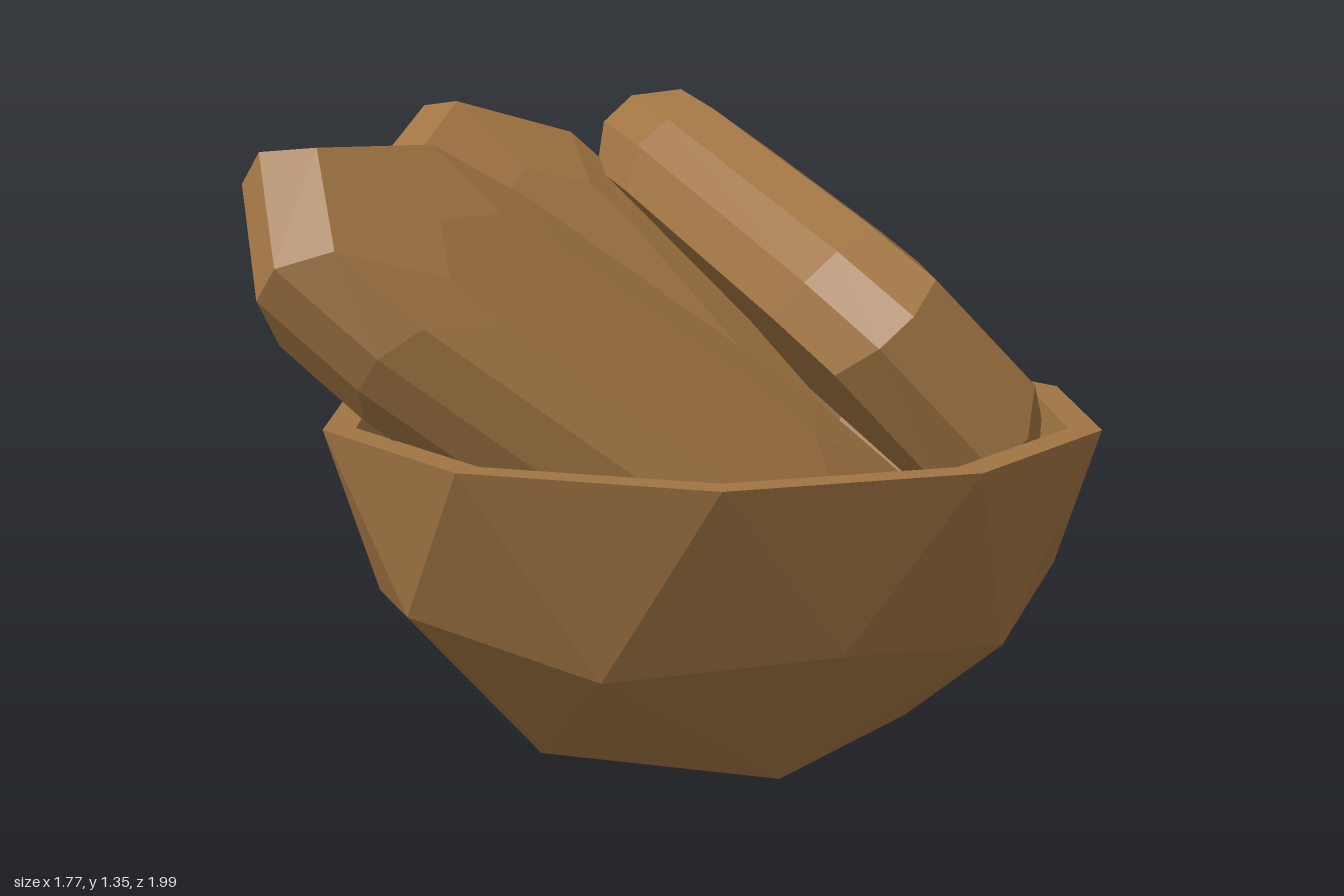
import * as THREE from 'three';

const brown = new THREE.MeshStandardMaterial({ color: 0xa07442 });
brown.name = 'warm brown';

// Flat-faceted mesh from a list of triangles (corners as Vector3)
function facetMesh(name, tris) {
  const geo = new THREE.BufferGeometry().setFromPoints(tris.flat());
  geo.computeVertexNormals();
  const mesh = new THREE.Mesh(geo, brown);
  mesh.name = name;
  return mesh;
}

// Point on a ring: radius, height, angle in degrees
function polar(r, y, deg) {
  const a = THREE.MathUtils.degToRad(deg);
  return new THREE.Vector3(r * Math.cos(a), y, r * Math.sin(a));
}

// Lower half of a faceted sphere with a flat base; s scales it about the rim centre
function bowlShell(s) {
  const rim = 0.7;
  const pt = (r, y, a) => polar(r * s, rim + (y - rim) * s, a);
  const tris = [];
  for (let k = 0; k < 5; k++) {
    const a = 180 + 72 * k;
    const p0 = pt(0.444, 0, a), p1 = pt(0.444, 0, a + 72);
    const a0 = pt(0.765, 0.352, a), a1 = pt(0.765, 0.352, a + 72);
    const b = pt(0.725, 0.287, a + 36);
    const e0 = pt(0.848, rim, a - 18), e1 = pt(0.848, rim, a + 18), e2 = pt(0.848, rim, a + 54);
    tris.push(
      [e0, e1, a0], [e1, e2, b], [e1, b, a0], [e2, a1, b],
      [a0, b, p0], [b, p1, p0], [b, a1, p1],
      [pt(0, 0, 0), p0, p1]
    );
  }
  return tris;
}

function makeBowl() {
  const bowl = new THREE.Group();
  bowl.name = 'bowl';
  const thin = 0.918;
  const rim = [];
  for (let j = 0; j < 10; j++) {
    const a = 18 + 36 * j;
    const o0 = polar(0.848, 0.7, a), o1 = polar(0.848, 0.7, a + 36);
    const i0 = o0.clone().setX(o0.x * thin).setZ(o0.z * thin);
    const i1 = o1.clone().setX(o1.x * thin).setZ(o1.z * thin);
    rim.push([i0, o1, o0], [i0, i1, o1]);
  }
  bowl.add(
    facetMesh('bowlOutside', bowlShell(1)),
    facetMesh('bowlInside', bowlShell(thin).map(([p, q, r]) => [p, r, q])),
    facetMesh('bowlRim', rim)
  );
  bowl.position.set(0.078, 0, 0.15);
  return bowl;
}

// Long hexagonal outline: tip, shoulder and slightly bowed long sides
function outline(y, tip, sx, sz, mx, mz) {
  return [
    [tip, 0], [sx, sz], [mx, mz], [-mx, mz], [-sx, sz],
    [-tip, 0], [-sx, -sz], [-mx, -mz], [mx, -mz], [sx, -sz]
  ].map(([x, z]) => new THREE.Vector3(x, y, z));
}

// Loaf with a domed upper face (local y = 0), bevelled sides and a flat underside
function loafTriangles() {
  const panel = [0.49, 0.4, 0.14, 0.26, 0.16];
  const face = [0.78, 0.61, 0.242, 0.38, 0.282];
  const side = [0.88, 0.69, 0.278, 0.42, 0.325];
  const rings = [
    outline(0.03, ...panel), outline(0, ...face), outline(-0.095, ...side),
    outline(-0.19, ...side), outline(-0.285, ...face)
  ];
  const top = new THREE.Vector3(0, 0.03, 0), bottom = new THREE.Vector3(0, -0.285, 0);
  const tris = [];
  const n = rings[0].length;
  for (let i = 0; i < n; i++) {
    const j = (i + 1) % n;
    tris.push([top, rings[0][j], rings[0][i]], [bottom, rings[4][i], rings[4][j]]);
    for (let r = 0; r < 4; r++) {
      const a = rings[r], b = rings[r + 1];
      tris.push([a[i], a[j], b[i]], [a[j], b[j], b[i]]);
    }
  }
  return tris;
}

// Place a loaf by its face centre, long direction and face normal
function makeLoaf(name, centre, along, normal) {
  const mesh = facetMesh(name, loafTriangles());
  const x = new THREE.Vector3(...along).normalize();
  const z = x.clone().cross(new THREE.Vector3(...normal)).normalize();
  const y = z.clone().cross(x);
  mesh.quaternion.setFromRotationMatrix(new THREE.Matrix4().makeBasis(x, y, z));
  mesh.position.set(...centre);
  return mesh;
}

export function createModel() {
  const model = new THREE.Group();
  model.name = 'bowlOfLoaves';
  model.add(
    makeBowl(),
    makeLoaf('rightLoaf', [-0.225, 0.835, 0.28], [-0.625, 0.57, -0.533], [0.093, 0.736, 0.67]),
    makeLoaf('leftLoaf', [0.572, 1.017, 0.042], [0.176, 0.277, -0.944], [0.66, 0.67, 0.32]),
    makeLoaf('backLoaf', [0.13, 0.857, -0.185], [-0.13, 0.6, -0.79], [-0.02, 0.79, 0.61])
  );
  return model;
}
